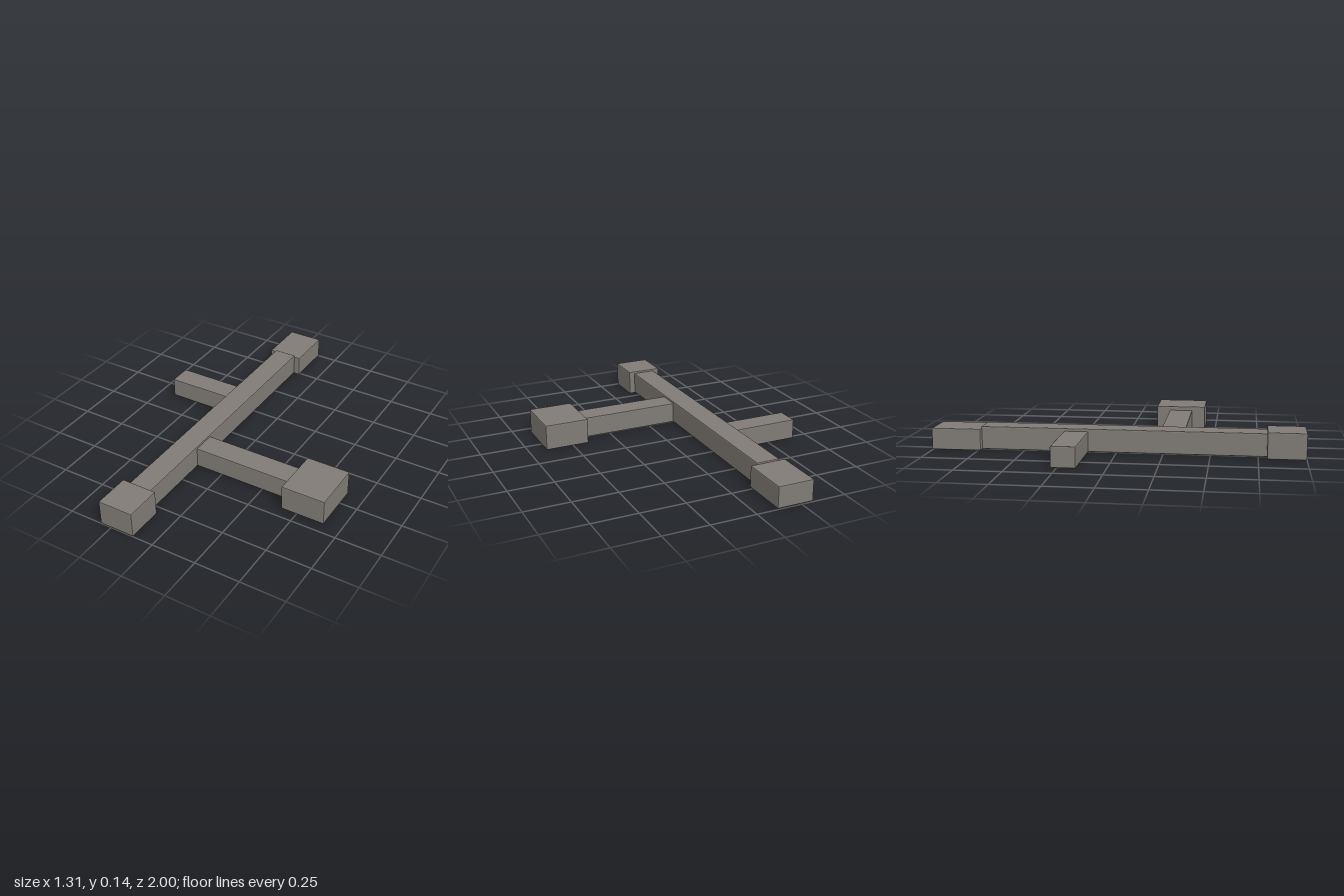
import * as THREE from 'three';
import { RoundedBoxGeometry } from 'three/addons/geometries/RoundedBoxGeometry.js';

const stone = new THREE.MeshStandardMaterial({ color: 0x807b75 });
stone.name = 'warmGrey';

// Box with finely bevelled edges, given by its extents on each axis
function block(name, [x0, x1], [y0, y1], [z0, z1]) {
  const geometry = new RoundedBoxGeometry(x1 - x0, y1 - y0, z1 - z0, 1, 0.006);
  geometry.computeVertexNormals(); // unshared corners give flat facets
  const mesh = new THREE.Mesh(geometry, stone);
  mesh.name = name;
  mesh.position.set((x0 + x1) / 2, (y0 + y1) / 2, (z0 + z1) / 2);
  return mesh;
}

export function createModel() {
  const model = new THREE.Group();
  model.name = 'branchingCorridors';
  model.add(
    // Long spine running front to back
    block('spine', [-0.28, -0.15], [0.005, 0.13], [-0.735, 0.805]),
    // Rooms at both ends of the spine
    block('frontRoom', [-0.315, -0.115], [0, 0.142], [0.795, 1]),
    block('backRoom', [-0.315, -0.115], [0.003, 0.121], [-1, -0.73]),
    // Short dead-end branch
    block('shortBranch', [-0.655, -0.27], [0.003, 0.115], [-0.28, -0.15]),
    // Longer branch with its own room
    block('longBranch', [-0.16, 0.42], [0.004, 0.119], [0.23, 0.363]),
    block('sideRoom', [0.41, 0.655], [0, 0.142], [0.155, 0.44]),
  );
  return model;
}
